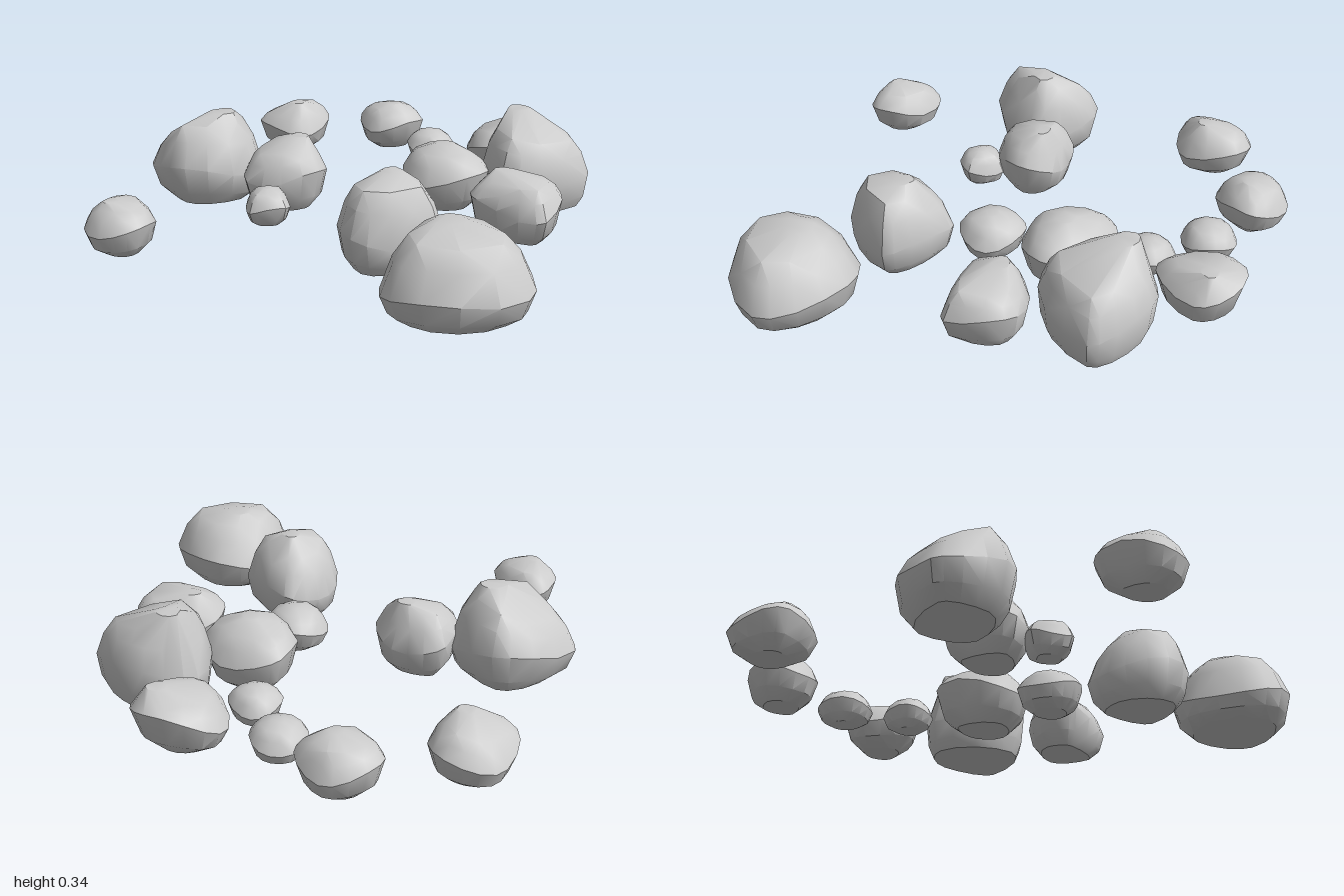
import * as THREE from 'three';
import { ConvexGeometry } from 'three/addons/geometries/ConvexGeometry.js';
import { toCreasedNormals } from 'three/addons/utils/BufferGeometryUtils.js';

const material = new THREE.MeshStandardMaterial({ color: 0xcccccc });
const STEPS = 4; // points per quarter of the plan outline

// Plan outline: a rounded quarter between each pair of neighbouring extremes.
function planOutline([left, right, back, front], [backX, rightZ, frontX, leftZ], bulge) {
  const ends = [[backX, back], [right, rightZ], [frontX, front], [left, leftZ]];
  const rim = [];
  ends.forEach((a, i) => {
    const b = ends[(i + 1) % 4];
    // Inner corner of the quarter; it alternates between the two axes
    const o = i % 2 ? [b[0], a[1]] : [a[0], b[1]];
    for (let s = 0; s < STEPS; s++) {
      const angle = (s / STEPS) * Math.PI / 2;
      const u = Math.cos(angle) ** bulge, v = Math.sin(angle) ** bulge;
      rim.push([0, 1].map((k) => o[k] + (a[k] - o[k]) * u + (b[k] - o[k]) * v));
    }
  });
  return rim;
}

// Convex stone: narrow foot, uneven belt, shoulder, sloping crown and a small cap round the peak.
// extents: [left, right, back, front]; touch: where the outline meets each extent.
function stone(name, extents, touch, height, options = {}) {
  const cx = (extents[0] + extents[1]) / 2;
  const cz = (extents[2] + extents[3]) / 2;
  const { peak = [cx, cz], edge = 0.9, slopeX = 0, slopeZ = 0, tilt = [0, 0],
    belt = 0.5, foot = 0.5, crown = 0.62, bulge = 1.1 } = options;
  const points = [];

  planOutline(extents, touch, bulge).forEach(([x, z], i) => {
    const dx = x - cx, dz = z - cz;
    const ring = (scale, y, [ox, oz] = [cx, cz]) =>
      points.push(new THREE.Vector3(ox + dx * scale, y, oz + dz * scale));
    const wave = 1 + 0.2 * Math.cos(2 * Math.atan2(dz, dx) + cx * 9 + cz * 5);
    const level = height * belt * wave + tilt[0] * dx + tilt[1] * dz;
    const top = height * edge + Math.min(0, (slopeX * dx + slopeZ * dz) * crown);
    ring(foot, 0);
    ring(foot + (1 - foot) * 0.68, level * 0.35);
    ring(1, level);
    ring(1 - (1 - crown) * 0.45, level + (top - level) * 0.62);
    if (i % 2 === 0) {
      ring(crown, top);
      ring(0.22, height, peak);
    }
  });

  const mesh = new THREE.Mesh(toCreasedNormals(new ConvexGeometry(points), 0.6), material);
  mesh.name = name;
  return mesh;
}

export function createModel() {
  const group = new THREE.Group();
  group.name = 'scatteredStones';

  // Back stones
  group.add(
    stone('largeBackStone', [-.46, -.05, -.83, -.42], [-.36, -.67, -.2, -.6], .34,
      { peak: [-.23, -.56], slopeZ: .6, belt: .4, foot: .66, crown: .65 }),
    stone('loneLeftStone', [-.95, -.69, -.515, -.245], [-.76, -.43, -.84, -.39], .185,
      { peak: [-.85, -.39], belt: .55, bulge: 1 }),
    stone('innerBackStone', [-.28, .025, -.485, -.18], [-.05, -.31, -.09, -.37], .265,
      { peak: [-.07, -.31], slopeX: .25, foot: .6 }),
    stone('pebble', [-.39, -.2, -.325, -.135], [-.3, -.24, -.29, -.22], .135, { bulge: 1.4 }),
    stone('farBackStone', [.24, .54, -1, -.715], [.42, -.85, .35, -.9], .205,
      { peak: [.37, -.82], slopeZ: .3, bulge: 1 }),
  );

  // Right-hand stones
  group.add(
    stone('backRightStone', [.56, .83, -.72, -.45], [.68, -.6, .74, -.57], .19,
      { peak: [.69, -.56], belt: .55 }),
    stone('smallRightStone', [.56, .765, -.42, -.215], [.68, -.32, .65, -.32], .13),
    stone('smallInnerStone', [.44, .625, -.205, -.02], [.54, -.13, .54, -.12], .125, { bulge: .95 }),
    stone('rightStone', [.63, .945, -.19, .13], [.795, -.01, .84, 0], .21,
      { peak: [.84, .03], slopeX: .15, slopeZ: .2, tilt: [.15, .1], belt: .6, foot: .45 }),
  );

  // Front stones
  group.add(
    stone('middleStone', [.145, .48, -.1, .26], [.38, .09, .32, .07], .24,
      { peak: [.31, .09], slopeX: -.15, belt: .55, foot: .55 }),
    stone('tallFrontStone', [.37, .755, .08, .49], [.6, .25, .66, .32], .34,
      { peak: [.61, .19], edge: .84, slopeZ: -.2, belt: .42, foot: .84, crown: .7 }),
    stone('frontWedgeStone', [.13, .415, .31, .65], [.25, .52, .21, .4], .225,
      { peak: [.27, .41], belt: .55, foot: .65, crown: .66 }),
    stone('smallCentreStone', [-.1, .135, 0, .245], [.015, .1, .03, .13], .16, { belt: .52, bulge: 1 }),
    stone('innerFrontStone', [-.43, -.07, .155, .51], [-.23, .25, -.17, .35], .32,
      { peak: [-.22, .33], slopeX: -.15, slopeZ: .25, belt: .38, foot: .7, crown: .64 }),
    stone('largeFrontStone', [-.61, -.135, .52, .995], [-.35, .72, -.31, .71], .29,
      { peak: [-.35, .71], belt: .36, foot: .7, crown: .62, tilt: [.06, .06] }),
  );
  return group;
}
